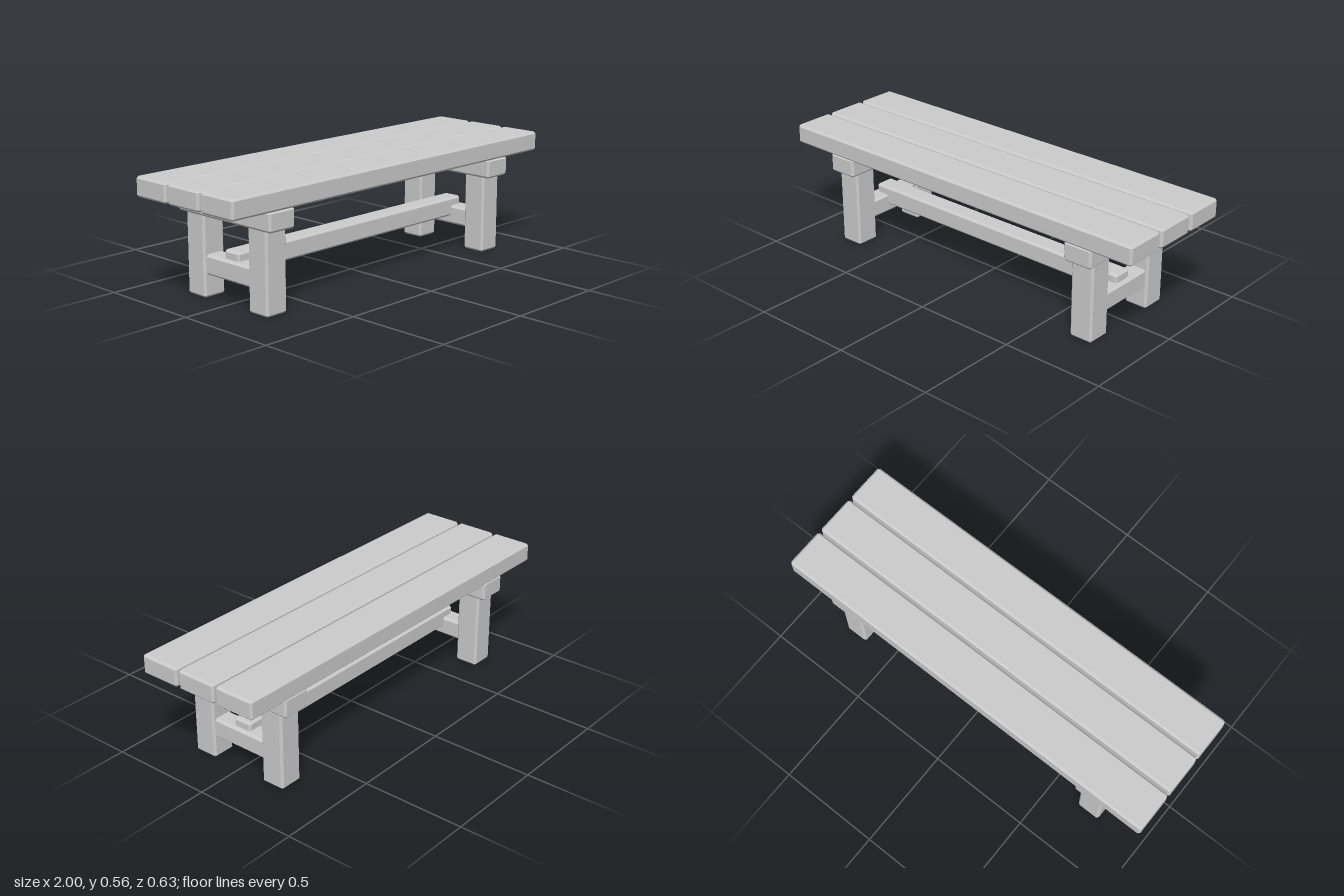
import * as THREE from 'three';
import { ConvexGeometry } from 'three/addons/geometries/ConvexGeometry.js';

const BEVEL = 0.01;

// Box with chamfered edges: each face is inset, giving 24 corner points
function beam(name, material, size, position) {
  const half = size.map((s) => s / 2);
  const points = [];
  for (const sx of [-1, 1]) for (const sy of [-1, 1]) for (const sz of [-1, 1]) {
    const signs = [sx, sy, sz];
    for (let axis = 0; axis < 3; axis++) {
      const p = half.map((h, i) => signs[i] * (i === axis ? h : h - BEVEL));
      points.push(new THREE.Vector3(...p));
    }
  }
  const mesh = new THREE.Mesh(new ConvexGeometry(points), material);
  mesh.name = name;
  mesh.position.set(...position);
  return mesh;
}

export function createModel() {
  const model = new THREE.Group();
  model.name = 'bench';
  const wood = new THREE.MeshStandardMaterial({ color: 0xcccccc, flatShading: true });
  const add = (name, size, position) => model.add(beam(name, wood, size, position));

  // Seat planks
  const plankNames = ['backPlank', 'middlePlank', 'frontPlank'];
  plankNames.forEach((name, i) => {
    add(name, [2, 0.093, 0.2], [0, 0.5165, (i - 1) * 0.213]);
  });

  // Trestle at each end
  for (const side of [-1, 1]) {
    const label = side > 0 ? 'left' : 'right';
    const x = side * 0.713;
    add(label + 'Bearer', [0.146, 0.093, 0.6], [x, 0.4235, 0]);
    add(label + 'Crossbar', [0.093, 0.093, 0.36], [x, 0.1515, 0]);
    for (const end of [-1, 1]) {
      add(label + (end > 0 ? 'FrontLeg' : 'BackLeg'), [0.118, 0.42, 0.118], [x, 0.21, end * 0.201]);
    }
  }

  // Long stretcher notched into the crossbars
  add('stretcher', [1.48, 0.093, 0.094], [0, 0.1915, 0]);

  return model;
}
